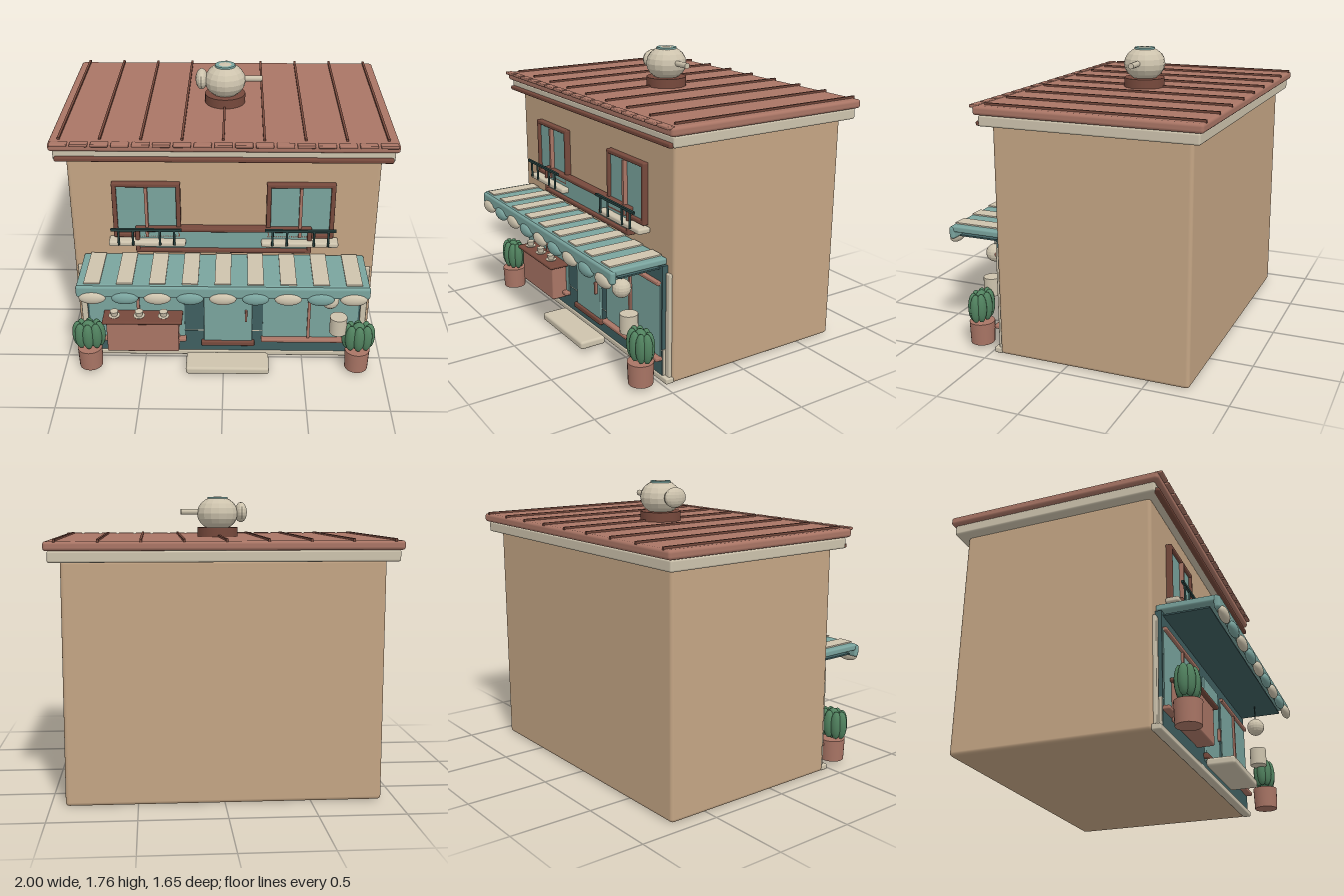
import * as THREE from 'three';
import { RoundedBoxGeometry } from 'three/addons/geometries/RoundedBoxGeometry.js';

const mat = (name, color, flatShading = false) => {
  const m = new THREE.MeshStandardMaterial({ color, flatShading });
  m.name = name;
  return m;
};

export function createModel() {
  const wall = mat('tan wall', 0xc4a584);
  const clay = mat('clay red', 0xa97565);
  const brown = mat('dark brown', 0x76493c);
  const teal = mat('teal', 0x7aa49e);
  const dark = mat('deep teal', 0x3f5f60);
  const iron = mat('dark iron', 0x27413f);
  const cream = mat('cream', 0xcdc3ad);
  const stoneware = mat('faceted cream', 0xcdc3ad, true);
  const green = mat('cactus green', 0x51825f);

  const root = new THREE.Group();
  root.name = 'teaShop';
  let target = root;

  const add = (name, geo, m, x = 0, y = 0, z = 0) => {
    const mesh = new THREE.Mesh(geo, m);
    mesh.name = name;
    mesh.position.set(x, y, z);
    target.add(mesh);
    return mesh;
  };
  // Box given by its limits; r rounds the edges
  const box = (name, m, x0, x1, y0, y1, z0, z1, r = 0) => {
    const s = [x1 - x0, y1 - y0, z1 - z0];
    const geo = r ? new RoundedBoxGeometry(...s, 2, r) : new THREE.BoxGeometry(...s);
    return add(name, geo, m, (x0 + x1) / 2, (y0 + y1) / 2, (z0 + z1) / 2);
  };
  const cyl = (name, m, r0, r1, h, x, y, z, n = 20) =>
    add(name, new THREE.CylinderGeometry(r0, r1, h, n), m, x, y, z);
  const ball = (name, m, rx, ry, rz, x, y, z, n = 16) => {
    const geo = new THREE.SphereGeometry(1, n, Math.round(n * 0.625));
    return add(name, geo.scale(rx, ry, rz), m, x, y, z);
  };
  // Four bars around a rectangle
  const frame = (name, m, x0, x1, y0, y1, z0, z1, t) => {
    box(name + 'Top', m, x0, x1, y1 - t, y1, z0, z1, 0.008);
    box(name + 'Bottom', m, x0, x1, y0, y0 + t, z0, z1, 0.008);
    box(name + 'SideA', m, x0, x0 + t, y0, y1, z0, z1, 0.008);
    box(name + 'SideB', m, x1 - t, x1, y0, y1, z0, z1, 0.008);
  };
  const part = (name, build) => {
    target = new THREE.Group();
    target.name = name;
    root.add(target);
    build();
    target = root;
  };

  // Building body
  box('body', wall, -0.915, 0.915, 0.005, 1.41, -0.745, 0.44, 0.022);

  part('roof', () => {
    box('cornice', cream, -0.98, 0.98, 1.4, 1.465, -0.8, 0.49, 0.012);
    box('corniceTrim', brown, -0.97, 0.97, 1.4, 1.428, 0.47, 0.512, 0.01);
    box('roofSlab', clay, -1, 1, 1.465, 1.518, -0.823, 0.515, 0.018);
    for (let i = 0; i < 9; i++) {
      const x = -0.942 + i * 0.235;
      box('roofSeam', brown, x - 0.007, x + 0.007, 1.512, 1.53, -0.82, 0.46);
    }
    for (let i = 0; i < 17; i++) {
      const x = -0.936 + i * 0.117;
      box('eaveTile', clay, x - 0.051, x + 0.051, 1.505, 1.523, 0.49, 0.538, 0.006);
    }
  });

  part('rooftopTeapot', () => {
    const z = -0.12;
    cyl('potStand', brown, 0.125, 0.125, 0.06, 0, 1.545, z, 24);
    ball('potBody', stoneware, 0.128, 0.105, 0.128, 0, 1.66, z);
    cyl('potLid', teal, 0.062, 0.066, 0.022, 0, 1.749, z);
    cyl('potSpout', cream, 0.018, 0.018, 0.13, 0.163, 1.67, z, 12).rotation.z = Math.PI / 2;
    ball('potHandle', stoneware, 0.038, 0.062, 0.078, -0.145, 1.667, z);
  });

  // Upper windows with balconies
  for (const c of [-0.457, 0.455]) {
    part('upperWindow', () => {
      box('windowGlass', teal, c - 0.185, c + 0.185, 0.89, 1.23, 0.43, 0.458);
      frame('windowFrame', brown, c - 0.202, c + 0.202, 0.88, 1.245, 0.435, 0.475, 0.027);
      box('windowMullion', clay, c - 0.009, c + 0.009, 0.89, 1.22, 0.45, 0.485);
    });
    part('balcony', () => {
      box('balconyLedge', cream, c - 0.23, c + 0.23, 0.842, 0.876, 0.44, 0.522, 0.012);
      box('balconyRail', iron, c - 0.21, c + 0.21, 0.964, 0.979, 0.532, 0.547);
      for (const d of [-0.165, -0.08, 0.08, 0.165])
        cyl('balconyPost', iron, 0.007, 0.007, 0.105, c + d, 0.92, 0.539, 8);
    });
  }

  part('signBoard', () => {
    box('signPanel', teal, -0.51, 0.51, 0.8, 0.94, 0.43, 0.475);
    frame('signFrame', brown, -0.528, 0.526, 0.786, 0.955, 0.44, 0.495, 0.026);
  });

  part('shopfront', () => {
    box('plinth', cream, -0.91, 0.91, 0.005, 0.04, 0.43, 0.483, 0.008);
    box('plinthBand', cream, -0.86, 0.86, 0.04, 0.2, 0.43, 0.474);
    box('frontPanel', dark, -0.855, 0.855, 0.038, 0.192, 0.43, 0.476);
    box('frontPanelUpper', dark, -0.855, 0.855, 0.198, 0.705, 0.43, 0.476);
    for (const s of [-1, 1]) {
      box('pilaster', cream, s * 0.878 - 0.019, s * 0.878 + 0.019, 0.03, 0.665, 0.43, 0.458, 0.006);
      // Large display window
      const c = s * 0.545;
      box('shopGlass', teal, c - 0.298, c + 0.298, 0.145, 0.6, 0.46, 0.482);
      box('shopHead', clay, c - 0.298, c + 0.298, 0.588, 0.611, 0.46, 0.5, 0.006);
      box('shopSill', clay, c - 0.308, c + 0.308, 0.13, 0.155, 0.46, 0.515, 0.008);
      box('shopMullion', clay, s * 0.535 - 0.009, s * 0.535 + 0.009, 0.15, 0.595, 0.47, 0.496);
    }
    box('door', teal, -0.125, 0.18, 0.08, 0.612, 0.46, 0.488, 0.006);
    box('doorKick', brown, -0.142, 0.196, 0.09, 0.125, 0.47, 0.503, 0.008);
    box('doorHandle', clay, 0.133, 0.148, 0.283, 0.365, 0.485, 0.508, 0.005);
    box('doorStep', cream, -0.235, 0.285, 0.008, 0.058, 0.515, 0.685, 0.016);
  });

  part('awning', () => {
    box('awningSheet', teal, -0.85, 0.85, 0.708, 0.748, 0.44, 0.79, 0.012);
    box('awningLining', dark, -0.83, 0.83, 0.683, 0.692, 0.44, 0.74);
    box('awningLip', teal, -0.855, 0.855, 0.665, 0.742, 0.765, 0.803, 0.016);
    for (let i = 0; i < 9; i++) {
      const x = -0.76 + i * 0.19;
      box('awningStripe', cream, x - 0.047, x + 0.047, 0.749, 0.757, 0.45, 0.782);
      ball('awningScallop', i % 2 ? teal : cream, 0.08, 0.04, 0.027, x, 0.664, 0.797, 20);
    }
  });

  part('hangingLamp', () => {
    cyl('lampCord', iron, 0.004, 0.004, 0.12, 0.645, 0.64, 0.612, 6);
    ball('lampGlobe', stoneware, 0.056, 0.056, 0.056, 0.645, 0.535, 0.612);
  });

  cyl('canister', cream, 0.053, 0.053, 0.112, 0.707, 0.345, 0.603, 24);

  part('counter', () => {
    box('counterBase', clay, -0.73, -0.28, 0.105, 0.335, 0.48, 0.585, 0.01);
    box('counterTop', brown, -0.752, -0.256, 0.328, 0.35, 0.47, 0.61, 0.009);
    for (const x of [-0.68, -0.525, -0.373]) {
      cyl('saucer', cream, 0.036, 0.03, 0.007, x, 0.354, 0.545);
      cyl('cup', cream, 0.026, 0.019, 0.032, x, 0.373, 0.545);
    }
  });

  // Cactus planters, mirrored either side of the front
  for (const s of [-1, 1]) {
    part('planter', () => {
      const x = s * 0.835, z = 0.607;
      cyl('pot', clay, 0.077, 0.072, 0.135, x, 0.0945, z, 24);
      for (let i = 0; i < 8; i++) {
        const a = (i / 8) * Math.PI * 2;
        ball('cactusLobe', green, 0.036, 0.09, 0.032,
          x + 0.068 * Math.cos(a), 0.262, z + 0.038 * Math.sin(a), 14);
      }
      ball('cactusCore', green, 0.055, 0.1, 0.045, x, 0.26, z, 14);
    });
  }

  return root;
}
